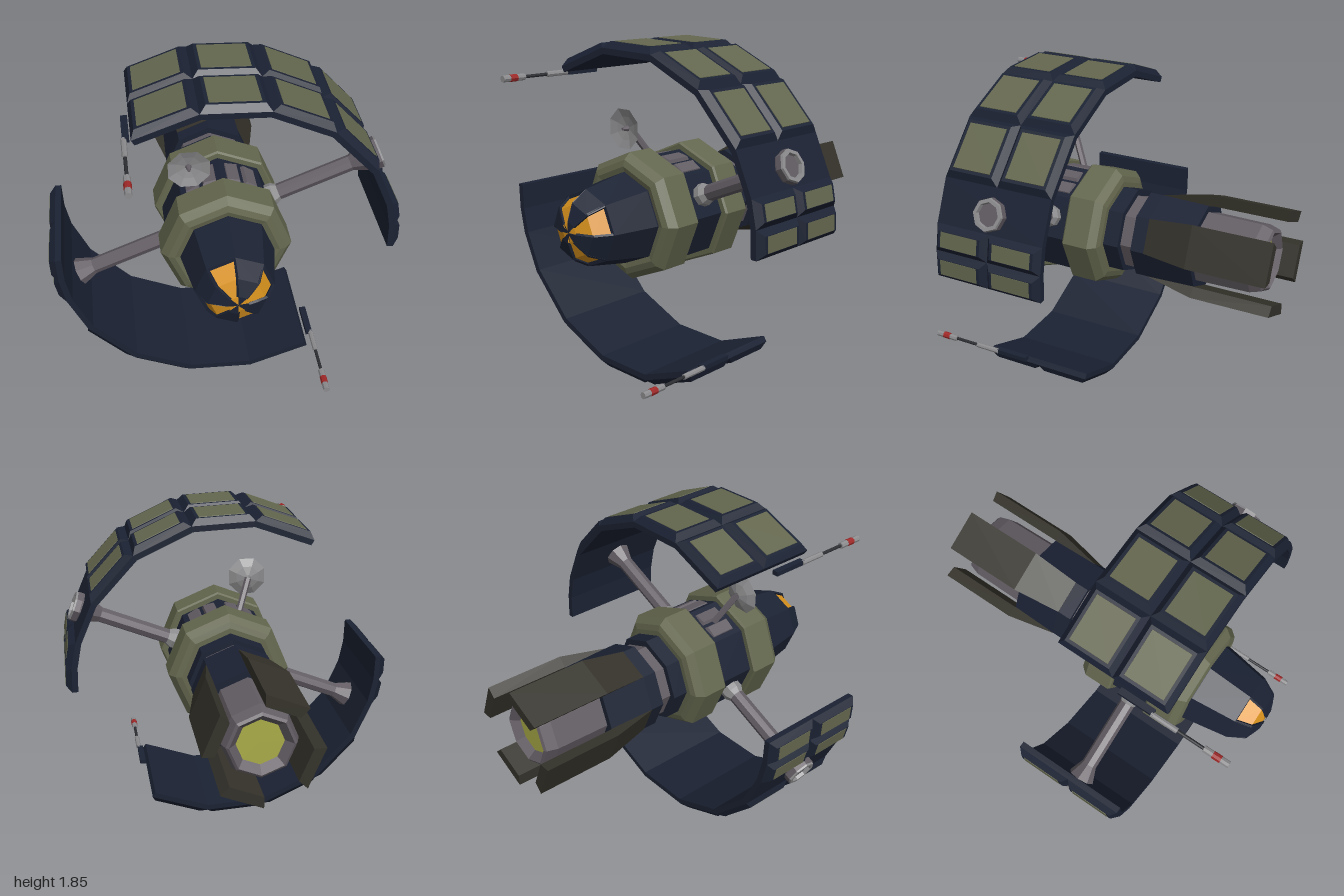
import * as THREE from 'three';

const mat = (color) => new THREE.MeshStandardMaterial({ color, flatShading: true, side: THREE.DoubleSide });
const NAVY = mat(0x1b2233), OLIVE = mat(0x64674e), STEEL = mat(0x625c63), DARK = mat(0x34322a);
const ORANGE = mat(0xd8921e), GLOW = mat(0xa9ab48), SILVER = mat(0x8c8c8e), RED = mat(0xa02828), BLACK = mat(0x2b2d31);
const DEG = Math.PI / 180;

function add(parent, name, geometry, material) {
  const mesh = new THREE.Mesh(geometry, material);
  mesh.name = name;
  parent.add(mesh);
  return mesh;
}

// Eight-sided turned part along z; profile is [radius, z] with z rising
function turned(profile, start = 0, sweep = 360, sides = 8) {
  const pts = profile.map(([r, z]) => new THREE.Vector2(r, z));
  return new THREE.LatheGeometry(pts, sides, (start + 90) * DEG, sweep * DEG).rotateX(Math.PI / 2);
}

// Six-faced solid from four base and four top corners, counter-clockwise from above
function block(b, t) {
  const pos = [];
  const quad = (p, q, r, s) => [p, q, r, p, r, s].forEach((v) => pos.push(v.x, v.y, v.z));
  quad(t[0], t[1], t[2], t[3]);
  quad(b[3], b[2], b[1], b[0]);
  for (let i = 0; i < 4; i++) {
    const j = (i + 1) % 4;
    quad(b[i], b[j], t[j], t[i]);
  }
  const g = new THREE.BufferGeometry();
  g.setAttribute('position', new THREE.Float32BufferAttribute(pos, 3));
  g.computeVertexNormals();
  return g;
}

const polar = (deg, r, z) => new THREE.Vector3(r * Math.cos(deg * DEG), r * Math.sin(deg * DEG), z);

// Four corners at angles a0 > a1, with a radius at each end
const corners = (a0, a1, zFront, zBack, rFront, rBack = rFront) => [
  polar(a0, rFront, zFront), polar(a1, rFront, zFront), polar(a1, rBack, zBack), polar(a0, rBack, zBack)];

// Bevelled plate standing on the chord of a ring segment
function plate(a0, a1, z0, z1, r, low, high, insetLow, insetHigh) {
  const A = polar(a0, r, 0), B = polar(a1, r, 0);
  const u = B.clone().sub(A).normalize(), n = new THREE.Vector3(-u.y, u.x, 0);
  const len = A.distanceTo(B);
  const layer = (h, inset) => {
    const k = Math.min(inset, len * 0.22);
    return [[k, z1 - inset], [len - k, z1 - inset], [len - k, z0 + inset], [k, z0 + inset]].map(([d, z]) => {
      const p = A.clone().addScaledVector(u, d).addScaledVector(n, h);
      p.z = z;
      return p;
    });
  };
  return block(layer(low, insetLow), layer(high, insetHigh));
}

function buildGun() {
  const gun = new THREE.Group();
  gun.name = 'gun';
  const rod = (name, r, z0, z1, material) => add(gun, name, turned([[0, z0], [r, z0], [r, z1], [0, z1]]), material);
  rod('gunBase', 0.015, 0.54, 0.69, SILVER);
  rod('gunBarrel', 0.009, 0.69, 0.84, BLACK);
  rod('gunTip', 0.018, 0.84, 0.98, SILVER);
  rod('gunMark', 0.0195, 0.89, 0.935, RED);
  add(gun, 'gunMount', new THREE.BoxGeometry(0.035, 0.025, 0.2).translate(0.01, 0, 0.45), NAVY);
  return gun;
}

// One curved wing with its strut and gun
function buildWing() {
  const wing = new THREE.Group();
  wing.name = 'wing';
  const stops = [121.5, 99, 76.5, 54, 31.5, 16, 6.5, -3];
  for (let i = 0; i < stops.length - 1; i++) {
    const a0 = stops[i], a1 = stops[i + 1];
    add(wing, 'wingShell', block(corners(a0, a1, 0.61, -0.03, 0.867), corners(a0, a1, 0.61, -0.03, 0.9)), NAVY);
    if (a0 === 31.5) continue; // the strut passes through here
    for (const [z0, z1] of [[-0.03, 0.29], [0.29, 0.61]]) {
      add(wing, 'wingTile', plate(a0, a1, z0, z1, 0.9, 0, 0.034, 0, 0.03), NAVY);
      add(wing, 'wingPanel', plate(a0, a1, z0, z1, 0.9, 0.03, 0.037, 0.046, 0.048), OLIVE);
    }
  }
  const strut = new THREE.Group();
  strut.name = 'strut';
  const part = (name, profile, material) =>
    add(strut, name, new THREE.LatheGeometry(profile.map((p) => new THREE.Vector2(...p)), 8), material);
  part('strutArm', [[0.045, 0.25], [0.045, 0.77], [0.083, 0.87], [0.09, 0.9], [0.09, 0.93]], STEEL);
  part('strutCollar', [[0.062, 0.27], [0.062, 0.32], [0.045, 0.35]], SILVER);
  part('strutRim', [[0.09, 0.92], [0.085, 0.94], [0.066, 0.94], [0.062, 0.92]], SILVER);
  part('strutCap', [[0.066, 0.92], [0, 0.92]], STEEL);
  strut.position.z = 0.29;
  strut.rotation.z = -67.5 * DEG;
  wing.add(strut);

  const gun = buildGun();
  gun.position.set(-0.503, 0.73, 0);
  wing.add(gun);
  return wing;
}

function buildHull() {
  const hull = new THREE.Group();
  hull.name = 'hull';
  // Two bevelled drums with a groove between
  add(hull, 'frontDrum', turned([[0.28, 0.4], [0.34, 0.4], [0.35, 0.41], [0.35, 0.56], [0.315, 0.6], [0.28, 0.61], [0.24, 0.6]]), OLIVE);
  add(hull, 'rearDrum', turned([[0.24, -0.03], [0.28, -0.03], [0.315, -0.02], [0.35, 0.02], [0.35, 0.17], [0.34, 0.18], [0.28, 0.18]]), OLIVE);
  add(hull, 'grooveCore', turned([[0.31, 0.17], [0.31, 0.41]]), NAVY);
  for (const a of [67.5, 112.5]) {
    for (const s of [-1, 1]) {
      add(hull, 'grooveHatch', plate(a + 10.5 + s * 10, a - 10.5 + s * 10, 0.2, 0.38, 0.29, 0, 0.018, 0.012, 0.02), STEEL);
    }
  }
  // Nose and cockpit: alternating armour and glass sectors
  add(hull, 'nose', turned([[0.25, 0.58], [0.25, 0.61], [0.205, 0.87], [0.16, 0.875]]), NAVY);
  for (let i = 0; i < 4; i++) {
    const a = i * 90;
    add(hull, 'cockpitGlass', turned([[0.185, 0.872], [0.14, 0.955], [0.05, 0.988], [0, 0.993]], a, 45, 1), ORANGE);
    add(hull, 'cockpitArmour', turned([[0.205, 0.87], [0.15, 0.965], [0.06, 0.997], [0, 1]], a - 45, 45, 1), NAVY);
    for (const edge of [a, a + 45]) {
      const rib = new THREE.CatmullRomCurve3([[0.195, 0.87], [0.145, 0.96], [0.055, 0.99]].map(([r, z]) => polar(edge, r, z)), false, 'catmullrom', 0);
      add(hull, 'cockpitRib', new THREE.TubeGeometry(rib, 4, 0.009, 4), NAVY);
    }
  }
  return hull;
}

function buildEngine() {
  const engine = new THREE.Group();
  engine.name = 'engine';
  add(engine, 'rearCollar', turned([[0.2, -0.12], [0.25, -0.12], [0.25, -0.02]]), NAVY);
  add(engine, 'neck', turned([[0.215, -0.21], [0.215, -0.11]]), STEEL);
  add(engine, 'engineBody', turned([[0.19, -0.55], [0.243, -0.55], [0.25, -0.28], [0.25, -0.2], [0.2, -0.2]]), NAVY);
  add(engine, 'nozzle', turned([[0.12, -0.88], [0.165, -0.93], [0.18, -0.92], [0.2, -0.86], [0.205, -0.54]]), STEEL);
  add(engine, 'engineGlow', turned([[0, -0.885], [0.125, -0.885]]), GLOW);
  // Four armour fins around the nozzle
  for (let a = 0; a < 360; a += 90) {
    add(engine, 'finRoot', block(corners(a + 45, a, -0.28, -0.55, 0.24), corners(a + 45, a, -0.28, -0.55, 0.252, 0.31)), DARK);
    add(engine, 'fin', block(corners(a + 45, a, -0.55, -1, 0.245), corners(a + 45, a, -0.55, -1, 0.31)), DARK);
  }
  return engine;
}

function buildDish() {
  const dish = new THREE.Group();
  dish.name = 'antenna';
  const post = new THREE.LineCurve3(new THREE.Vector3(-0.11, 0.27, 0.29), new THREE.Vector3(-0.18, 0.435, 0.385));
  add(dish, 'antennaPost', new THREE.TubeGeometry(post, 1, 0.02, 6), STEEL);
  const bowl = new THREE.Group();
  bowl.name = 'antennaDish';
  add(bowl, 'bowl', turned([[0.02, -0.02], [0.07, -0.005], [0.117, 0.02], [0.07, 0.005], [0, -0.01]]).rotateZ(22.5 * DEG), SILVER);
  add(bowl, 'feed', turned([[0.018, -0.01], [0.008, 0.03], [0, 0.03]]), STEEL);
  bowl.position.set(-0.18, 0.435, 0.41);
  dish.add(bowl);
  return dish;
}

export function createModel() {
  const model = new THREE.Group();
  model.name = 'spacecraft';
  const ship = new THREE.Group();
  ship.name = 'ship';
  ship.position.y = 0.93;
  const upperWing = buildWing(), lowerWing = buildWing();
  upperWing.name = 'upperWing';
  lowerWing.name = 'lowerWing';
  lowerWing.rotation.z = Math.PI;
  ship.add(buildHull(), buildEngine(), buildDish(), upperWing, lowerWing);
  model.add(ship);
  return model;
}
